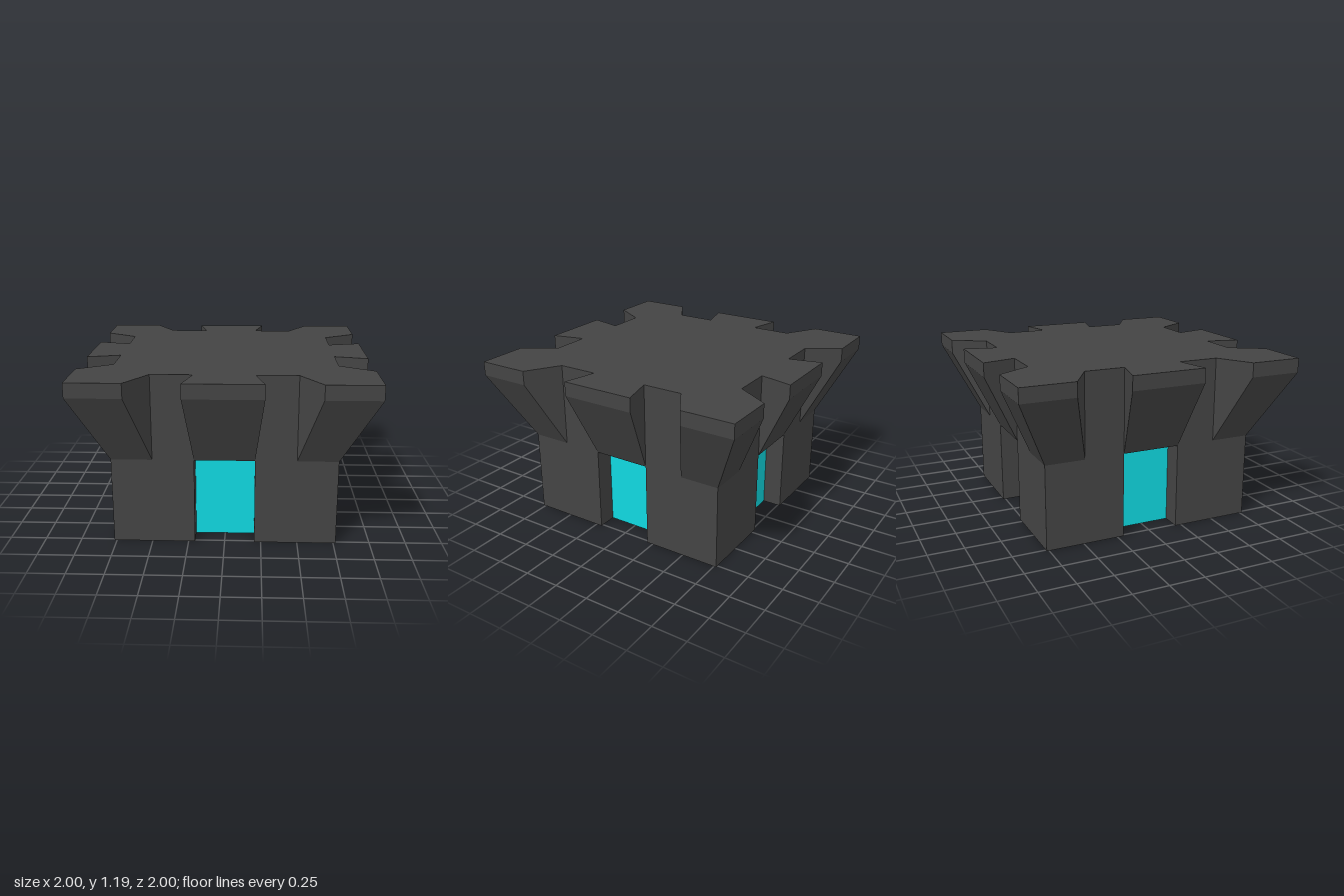
import * as THREE from 'three';

const WALL = 0.767, DOOR = 0.205, RECESS = 0.62;
const Y_FLARE = 0.6, Y_RIM = 1.09, Y_TOP = 1.19;

// Repeat one side's [x, z] points around all four sides
function fourSides(side) {
  const loop = [];
  let pts = side;
  for (let i = 0; i < 4; i++) {
    loop.push(...pts);
    pts = pts.map(([x, z]) => [z, -x]);
  }
  return loop;
}

// Upright prism on a plan outline
function prism(outline, y0, y1) {
  const shape = new THREE.Shape(outline.map(([x, z]) => new THREE.Vector2(x, -z)));
  const geo = new THREE.ExtrudeGeometry(shape, { depth: y1 - y0, bevelEnabled: false });
  return geo.rotateX(-Math.PI / 2).translate(0, y0, 0);
}

// Flat-faced band between two plan outlines of equal count
function band(lower, upper, y0, y1) {
  const pos = [];
  const n = lower.length;
  for (let i = 0; i < n; i++) {
    const j = (i + 1) % n;
    const a = [lower[i][0], y0, lower[i][1]], b = [lower[j][0], y0, lower[j][1]];
    const c = [upper[j][0], y1, upper[j][1]], d = [upper[i][0], y1, upper[i][1]];
    if (Math.hypot(a[0] - b[0], a[2] - b[2]) > 1e-6) pos.push(...a, ...b, ...c);
    pos.push(...a, ...c, ...d);
  }
  const geo = new THREE.BufferGeometry();
  geo.setAttribute('position', new THREE.Float32BufferAttribute(pos, 3));
  geo.computeVertexNormals();
  return geo;
}

export function createModel() {
  const model = new THREE.Group();
  const stone = new THREE.MeshStandardMaterial({ color: 0x444444, flatShading: true });
  const cyan = new THREE.MeshStandardMaterial({ color: 0x10d8e0, flatShading: true });
  const add = (name, geo, mat) => {
    const mesh = new THREE.Mesh(geo, mat);
    mesh.name = name;
    model.add(mesh);
    return mesh;
  };

  // Square base with a doorway recess in each side
  const basePlan = fourSides([
    [-WALL, WALL], [-DOOR, WALL], [-DOOR, RECESS], [DOOR, RECESS], [DOOR, WALL],
  ]);
  add('base', prism(basePlan, 0, Y_FLARE), stone);

  // Corner and middle brackets flare out from the wall to the rim
  const foot = fourSides([
    [-WALL, WALL], [-0.487, WALL], [-0.487, WALL], [-DOOR, WALL], [-DOOR, WALL],
    [DOOR, WALL], [DOOR, WALL], [0.487, WALL], [0.487, WALL],
  ]);
  const rim = fourSides([
    [-1, 1], [-0.63, 1], [-0.487, WALL], [-DOOR, WALL], [-0.263, 1],
    [0.263, 1], [DOOR, WALL], [0.487, WALL], [0.63, 1],
  ]);
  add('flaredBrackets', band(foot, rim, Y_FLARE, Y_RIM), stone);
  add('roofSlab', prism(rim, Y_RIM, Y_TOP), stone);

  // Underside closing the tops of the doorways
  const ceiling = new THREE.PlaneGeometry(2 * WALL, 2 * WALL).rotateX(Math.PI / 2);
  add('doorwayCeiling', ceiling.translate(0, Y_FLARE, 0), stone);

  // Thin coloured door panel at the back of each recess
  for (let i = 0; i < 4; i++) {
    const panel = new THREE.BoxGeometry(2 * DOOR, Y_FLARE, 0.01);
    panel.translate(0, Y_FLARE / 2, RECESS + 0.005).rotateY(i * Math.PI / 2);
    add('doorPanel' + (i + 1), panel, cyan);
  }
  return model;
}
